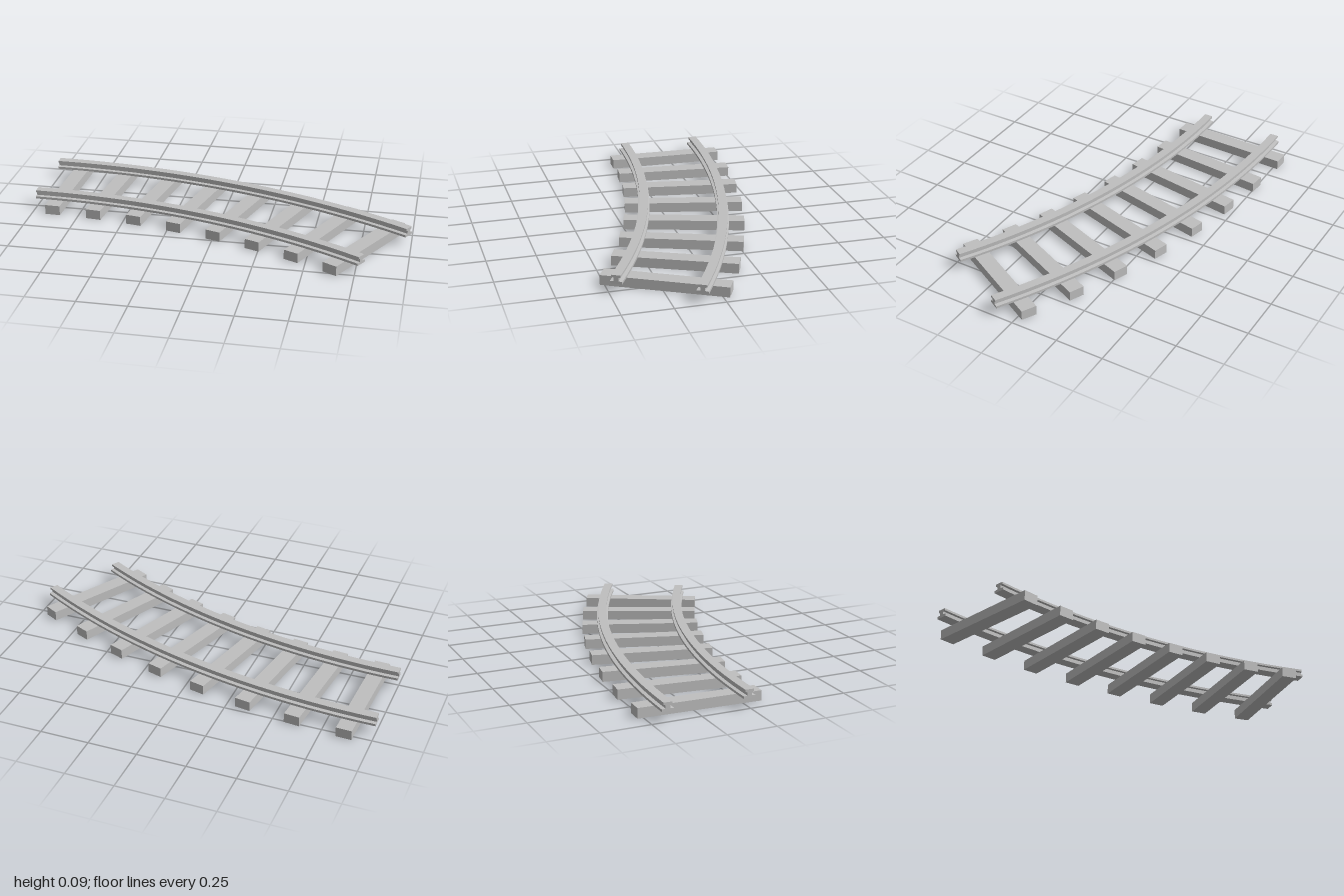
import * as THREE from 'three';
import { mergeGeometries, toCreasedNormals } from 'three/addons/utils/BufferGeometryUtils.js';

const SWEEP = Math.PI / 6;        // the track turns through 30 degrees
const CENTRE_X = -1, CENTRE_Z = 3.55;
const SLEEPERS = 8;
const SLEEPER_TOP = 0.051;

// Half of the I-shaped rail section: [half width, height]
const HALF_SECTION = [
  [0.03, SLEEPER_TOP], [0.03, 0.063], [0.0115, 0.065],
  [0.0115, 0.081], [0.0225, 0.084], [0.0225, 0.095],
];

// Rail swept round the curve centre, with both ends closed
function railGeometry(radius) {
  const section = [
    ...HALF_SECTION.map(([w, y]) => new THREE.Vector2(radius + w, y)),
    ...HALF_SECTION.slice().reverse().map(([w, y]) => new THREE.Vector2(radius - w, y)),
  ];
  const sweep = toCreasedNormals(
    new THREE.LatheGeometry([...section, section[0].clone()], 24, Math.PI - SWEEP, SWEEP), 0.3);

  const endCap = new THREE.ShapeGeometry(new THREE.Shape(section)).toNonIndexed();
  endCap.rotateY(Math.PI / 2 - SWEEP);

  const mirrored = section.map((p) => new THREE.Vector2(-p.x, p.y));
  const startCap = new THREE.ShapeGeometry(new THREE.Shape(mirrored)).toNonIndexed();
  startCap.rotateY(Math.PI * 1.5);

  return mergeGeometries([sweep, startCap, endCap]);
}

export function createModel() {
  const grey = new THREE.MeshStandardMaterial({ color: 0xbfbfbf });
  grey.name = 'light grey';

  const track = new THREE.Group();
  track.name = 'curvedTrack';

  // Two concentric rails
  for (const [name, radius] of [['outerRail', 3.97], ['innerRail', 3.557]]) {
    const rail = new THREE.Mesh(railGeometry(radius), grey);
    rail.name = name;
    rail.position.set(CENTRE_X, 0, CENTRE_Z);
    track.add(rail);
  }

  // Sleepers, each pointing at the curve centre
  const inner = 3.455, outer = 4.08, middle = (inner + outer) / 2;
  const sleeperGeometry = new THREE.BoxGeometry(0.08, SLEEPER_TOP, outer - inner);
  for (let i = 0; i < SLEEPERS; i++) {
    const angle = ((i + 0.5) / SLEEPERS) * SWEEP;
    const sleeper = new THREE.Mesh(sleeperGeometry, grey);
    sleeper.name = `sleeper${i + 1}`;
    sleeper.position.set(
      CENTRE_X + middle * Math.sin(angle), SLEEPER_TOP / 2, CENTRE_Z - middle * Math.cos(angle));
    sleeper.rotation.y = -angle;
    track.add(sleeper);
  }
  return track;
}
